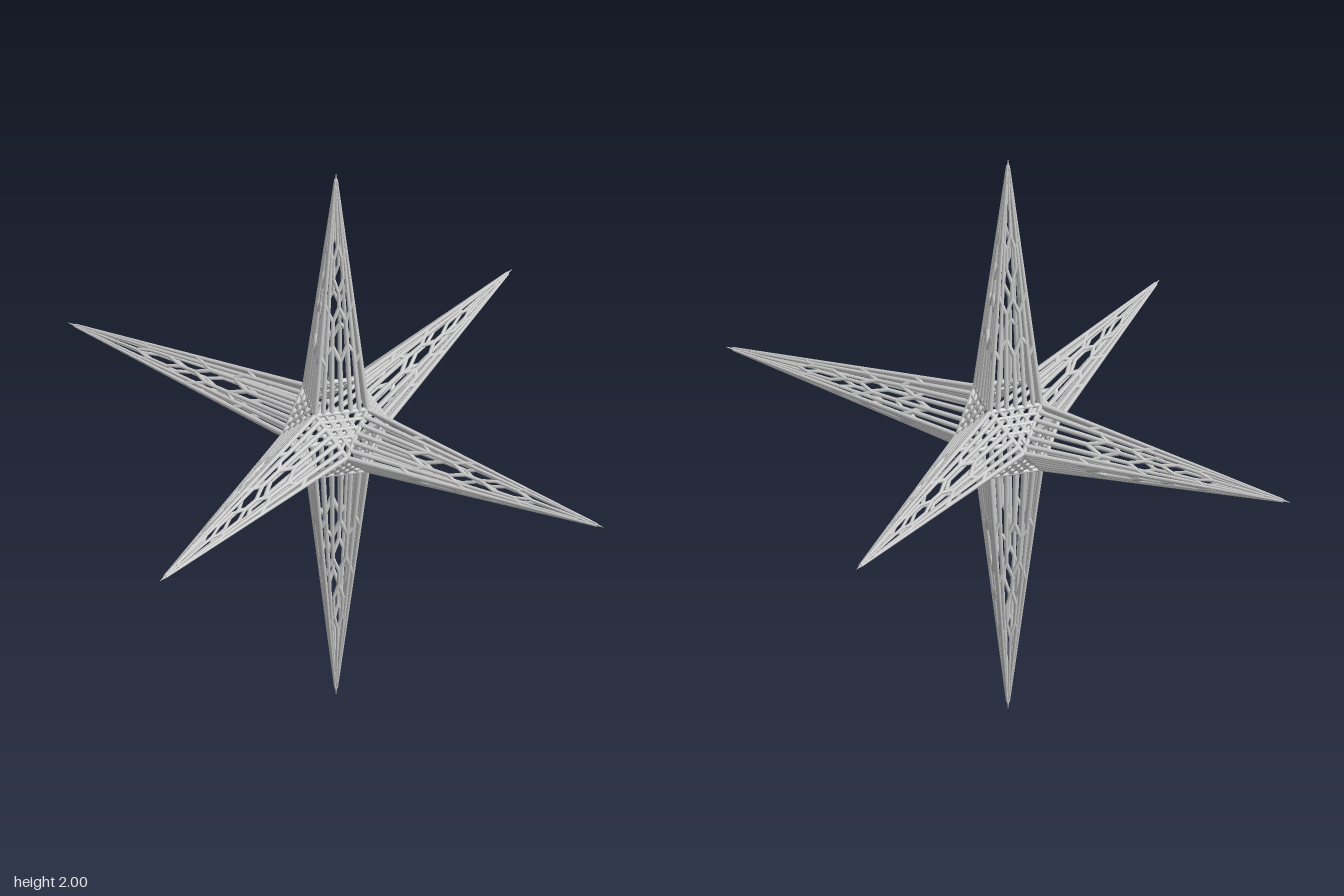
import * as THREE from 'three';
import { mergeGeometries } from 'three/addons/utils/BufferGeometryUtils.js';

const CORE = new THREE.Vector3(0, 1.024, 0);
const HALF = 0.117; // distance of the base corners along each of two axes
const UP = new THREE.Vector3(0, 1, 0);

// round bar between two points
function strut(a, b, ra, rb) {
  const dir = b.clone().sub(a);
  const g = new THREE.CylinderGeometry(rb, ra, dir.length(), 8, 1);
  g.applyQuaternion(new THREE.Quaternion().setFromUnitVectors(UP, dir.clone().normalize()));
  const mid = a.clone().add(b).multiplyScalar(0.5);
  return g.translate(mid.x, mid.y, mid.z);
}

const radius = (t) => 0.0082 * (1 - 0.6 * t);

// Bars of half a face, mirrored across its middle: [t0, s0, t1, s1],
// t from base to tip, s from the middle of the face to its corner
const LONG_BARS = [
  [0, 0.7, 0.9, 0.7], [0, 0.36, 0.28, 0.4],
  [0.28, 0.4, 0.38, 0.4], [0.56, 0.42, 0.64, 0.42],
];
const CHEVRONS = [
  [0.21, 0, 0.28, 0.4], [0.38, 0.4, 0.44, 0], [0.5, 0, 0.56, 0.42], [0.64, 0.42, 0.7, 0],
  [0.38, 0.4, 0.42, 0.7], [0.42, 0.7, 0.46, 1], [0.28, 0.4, 0.25, 0.7], [0.2, 0.7, 0.24, 1],
  [0.64, 0.42, 0.68, 1],
];
const MIDDLE_BARS = [[0, 0.21], [0.44, 0.5], [0.7, 0.94]];

// one open lattice spike with a diamond section, its corners lying on the other two axes
function makeSpike(axis, tip, material) {
  const spike = new THREE.Group();
  const u = new THREE.Vector3(axis.y, axis.z, axis.x);
  const bars = [], chevrons = [];

  for (let face = 0; face < 4; face++) {
    const corner = (k) => u.clone().applyAxisAngle(axis, k * Math.PI / 2)
      .add(axis).multiplyScalar(HALF).add(CORE);
    const c0 = corner(face), c1 = corner(face + 1);
    const at = (t, s) => c0.clone().lerp(c1, (s + 1) / 2).lerp(tip, t);
    const join = (list, t0, s0, t1, s1) =>
      list.push(strut(at(t0, s0), at(t1, s1), radius(t0), radius(t1)));

    join(bars, 0, 1, 0.97, 1);
    for (const [t0, t1] of MIDDLE_BARS) join(bars, t0, 0, t1, 0);
    for (const m of [-1, 1]) {
      for (const [t0, s0, t1, s1] of LONG_BARS) join(bars, t0, s0 * m, t1, s1 * m);
      for (const [t0, s0, t1, s1] of CHEVRONS) join(chevrons, t0, s0 * m, t1, s1 * m);
    }
  }

  addMesh(spike, 'longBars', mergeGeometries(bars), material);
  addMesh(spike, 'chevrons', mergeGeometries(chevrons), material);

  // solid point
  addMesh(spike, 'point', strut(CORE.clone().lerp(tip, 0.92), tip, 0.0105, 0.0005), material);
  return spike;
}

// triangular grille between three neighbouring spikes
function makeGrille(sx, sy, sz) {
  const corners = [[0, 1, 1], [1, 0, 1], [1, 1, 0]].map(([x, y, z]) =>
    new THREE.Vector3(x * sx, y * sy, z * sz).multiplyScalar(HALF).add(CORE));
  const bars = [];
  for (let i = 0; i < 3; i++) {
    const [a, b, c] = [corners[i], corners[(i + 1) % 3], corners[(i + 2) % 3]];
    for (const f of [0, 0.18, 0.36, 0.54]) {
      const r = f === 0 ? 0.0082 : 0.006;
      bars.push(strut(a.clone().lerp(c, f), b.clone().lerp(c, f), r, r));
    }
  }
  return mergeGeometries(bars);
}

function addMesh(parent, name, geometry, material) {
  const mesh = new THREE.Mesh(geometry, material);
  mesh.name = name;
  parent.add(mesh);
}

export function createModel() {
  const model = new THREE.Group();
  model.name = 'latticeStar';
  const material = new THREE.MeshStandardMaterial({ color: 0xcccccc });
  const spikes = [
    ['topSpike', [0, 1, 0], [0, 2, 0]],
    ['bottomSpike', [0, -1, 0], [0, 0, 0]],
    ['leftSpike', [1, 0, 0], [1, 1.034, 0]],
    ['rightSpike', [-1, 0, 0], [-1, 1.034, 0]],
    ['frontSpike', [0, 0, 1], [0, 1.034, 1]],
    ['backSpike', [0, 0, -1], [0, 1.034, -1]],
  ];
  for (const [name, axis, tip] of spikes) {
    const spike = makeSpike(new THREE.Vector3(...axis), new THREE.Vector3(...tip), material);
    spike.name = name;
    model.add(spike);
  }

  // grilles in all eight corners of the core
  const grilles = [];
  for (const x of [-1, 1]) for (const y of [-1, 1]) for (const z of [-1, 1]) grilles.push(makeGrille(x, y, z));
  addMesh(model, 'coreGrilles', mergeGeometries(grilles), material);
  return model;
}
